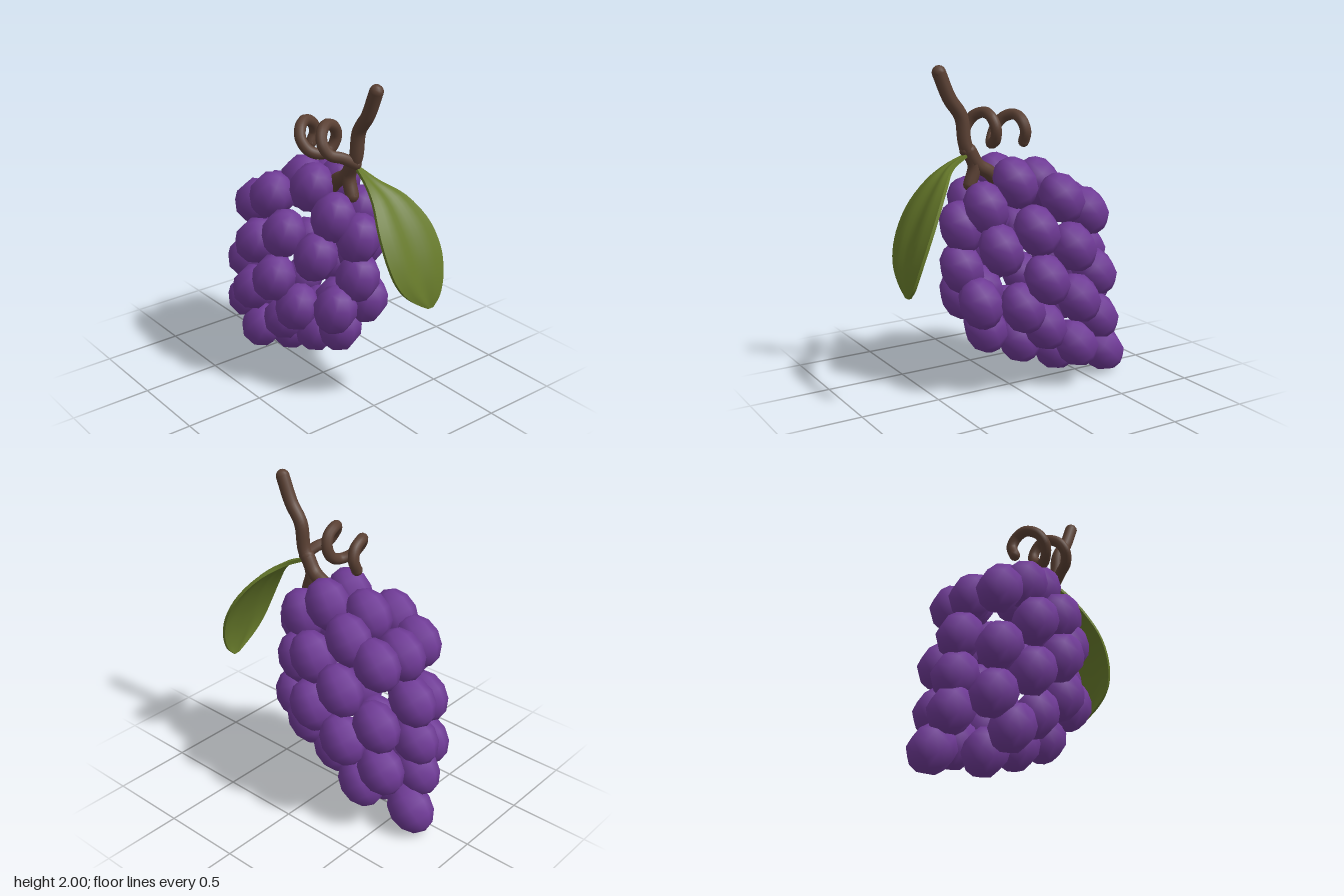
import * as THREE from 'three';

const mat = (color) => new THREE.MeshStandardMaterial({ color });
const V = (x, y, z) => new THREE.Vector3(x, y, z);

// Round-ended tube through a list of points
function branch(name, points, radius, material, segments = 40) {
  const group = new THREE.Group();
  group.name = name;
  const curve = new THREE.CatmullRomCurve3(points);
  group.add(new THREE.Mesh(new THREE.TubeGeometry(curve, segments, radius, 10), material));
  for (const end of [points[0], points[points.length - 1]]) {
    const cap = new THREE.Mesh(new THREE.SphereGeometry(radius, 10, 8), material);
    cap.position.copy(end);
    group.add(cap);
  }
  return group;
}

// Grapes as [x, y, z]; each pair is mirrored across the centre line
const PAIRS = [
  [0.1, 1.3, 0.02], [0.21, 1.2, -0.24], [0.1, 1.17, 0.22],
  [0.28, 1.04, -0.02], [0.19, 0.93, 0.17], [0.31, 0.92, -0.26], [0.19, 1.1, -0.43],
  [0.33, 0.75, -0.06], [0.23, 0.72, -0.47],
  [0.12, 0.6, 0.27], [0.24, 0.57, 0.05], [0.32, 0.6, -0.29],
  [0.2, 0.42, -0.13], [0.22, 0.43, -0.5], [0.22, 0.275, -0.35],
];
const SINGLES = [
  [0, 1.27, -0.21], [0, 1.1, -0.46], [0, 1.05, 0.33], [0, 0.8, 0.33], [0, 0.82, -0.55],
  [0, 0.57, -0.58], [0, 0.4, 0.17], [0, 0.29, -0.07], [0, 0.19, -0.33], [0, 0.36, -0.6],
  [0.1, 0.15, -0.64],
];

function makeGrapes() {
  const group = new THREE.Group();
  group.name = 'grapes';
  const geometry = new THREE.SphereGeometry(1, 8, 6);
  const skin = mat(0x6f3a96);
  const add = (x, y, z) => {
    const grape = new THREE.Mesh(geometry, skin);
    grape.name = 'grape';
    grape.position.set(x, y, z);
    grape.scale.set(0.132, 0.166, 0.136);
    grape.rotation.x = 0.5 - 0.45 * z; // lean along the bunch
    group.add(grape);
  };
  for (const [x, y, z] of PAIRS) {
    add(x, y, z);
    add(-x, y, z);
  }
  for (const p of SINGLES) add(...p);
  return group;
}

// Thick curved leaf: rows of [left x, right x, y, z], with a sunken midrib
function makeLeaf() {
  const rows = [
    [0.0, 0.02, 1.48, 0.29], [-0.03, 0.07, 1.42, 0.42], [-0.06, 0.18, 1.34, 0.525],
    [-0.1, 0.27, 1.2, 0.63], [-0.1, 0.3, 1.05, 0.705], [-0.07, 0.29, 0.93, 0.745],
    [-0.02, 0.27, 0.85, 0.762], [0.06, 0.24, 0.78, 0.77], [0.15, 0.19, 0.725, 0.77],
  ];
  const left = new THREE.CatmullRomCurve3(rows.map((r) => V(r[0], r[2], r[3])));
  const right = new THREE.CatmullRomCurve3(rows.map((r) => V(r[1], r[2], r[3])));
  const geometry = new THREE.BoxGeometry(1, 1, 1, 12, 28, 1);
  const pos = geometry.attributes.position;
  for (let i = 0; i < pos.count; i++) {
    const u = pos.getX(i) + 0.5, v = 0.5 - pos.getY(i);
    const p = left.getPoint(v).lerp(right.getPoint(v), u);
    const t = left.getTangent(v).add(right.getTangent(v));
    const normal = V(0, t.z, -t.y).normalize();
    const ripple = -0.007 * Math.cos(4 * Math.PI * u) * Math.sin(Math.PI * v);
    p.addScaledVector(normal, ripple + 0.02 * pos.getZ(i));
    pos.setXYZ(i, p.x, p.y, p.z);
  }
  geometry.computeVertexNormals();
  const leaf = new THREE.Mesh(geometry, mat(0x66792a));
  leaf.name = 'leaf';
  return leaf;
}

// Two-turn curl; depth is listed for every quarter turn
function makeTendril(material) {
  const depth = [0.27, 0.2, 0.125, 0.1, 0.08, 0, -0.08, -0.105, -0.11];
  const points = [V(0, 1.5, 0.3)];
  for (let q = 0; q <= 7.5; q += 0.5) {
    const angle = -Math.PI / 2 * (1 + q), k = Math.floor(q);
    const z = THREE.MathUtils.lerp(depth[k], depth[k + 1], q - k);
    points.push(V(-0.073 + 0.09 * Math.cos(angle), 1.63 - 0.006 * q + 0.088 * Math.sin(angle), z));
  }
  return branch('tendril', points, 0.034, material, 90);
}

export function createModel() {
  const model = new THREE.Group();
  model.name = 'grapeBunch';
  const bark = mat(0x5a4033);

  model.add(makeGrapes(), makeLeaf(), makeTendril(bark));

  // Main stem and its fork into the bunch
  model.add(branch('stem', [
    V(0, 1.96, 0.465), V(0, 1.81, 0.4), V(0, 1.7, 0.325), V(0, 1.54, 0.3),
    V(0, 1.41, 0.24), V(0, 1.3, 0.27),
  ], 0.041, bark));
  model.add(branch('stemFork', [
    V(0, 1.5, 0.275), V(0, 1.41, 0.22), V(0, 1.36, 0.14), V(0, 1.28, 0.06),
  ], 0.044, bark, 16));
  return model;
}
